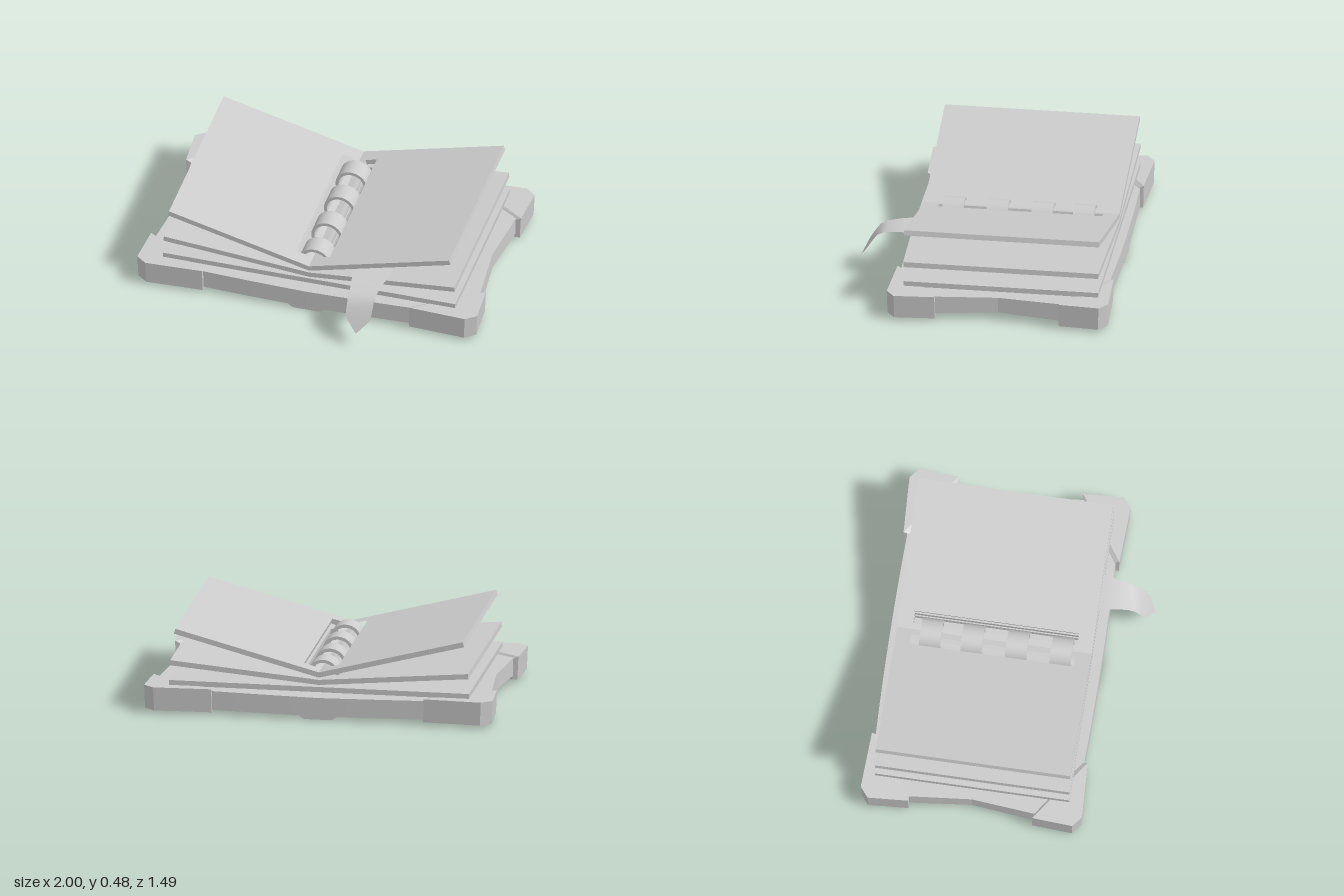
import * as THREE from 'three';
import { ConvexGeometry } from 'three/addons/geometries/ConvexGeometry.js';
import { toCreasedNormals } from 'three/addons/utils/BufferGeometryUtils.js';

const COVER_Z = -0.1125; // middle of the cover
const PAGE_Z = -0.12; // middle of the pages and rings

export function createModel() {
  const model = new THREE.Group();
  const mat = new THREE.MeshStandardMaterial({ color: 0xcccccc });
  const flat = new THREE.MeshStandardMaterial({ color: 0xcccccc, flatShading: true });
  const thin = new THREE.MeshStandardMaterial({ color: 0xcccccc, side: THREE.DoubleSide });

  const add = (name, geometry, material = flat) => {
    const mesh = new THREE.Mesh(geometry, material);
    mesh.name = name;
    model.add(mesh);
    return mesh;
  };

  // Cover: a box with waisted sides, bowed ends and a hollowed underside
  const cover = new THREE.BoxGeometry(2, 2, 2, 12, 1, 8);
  const p = cover.attributes.position;
  for (let i = 0; i < p.count; i++) {
    const u = p.getX(i), v = p.getZ(i), top = p.getY(i) > 0;
    const x = u * (0.92 + 0.055 * Math.abs(v));
    const z = v * (0.605 - 0.025 * u * u);
    const bottom = 0.02 + 0.01 * Math.abs(u) + 0.02 * u * u * (1 - Math.abs(v));
    p.setXYZ(i, x, top ? 0.127 + 0.014 * Math.abs(u) : bottom, z + COVER_Z);
  }
  add('cover', cover);

  // Raised spine under the cover
  const spineShape = new THREE.Shape([
    [-0.08, 0], [0.08, 0], [0.12, 0.028], [0.12, 0.06], [-0.12, 0.06], [-0.12, 0.028],
  ].map(([x, y]) => new THREE.Vector2(x, y)));
  const spine = new THREE.ExtrudeGeometry(spineShape, { depth: 1.208, bevelEnabled: false });
  spine.translate(0, 0, COVER_Z - 0.604);
  add('spine', spine);

  // Corner caps, with a bevel along the inner diagonal
  const outer = [[0.61, 0.617], [0.94, 0.632], [1, 0.585], [0.985, 0.355]];
  const inner = [[0.955, 0.355], [0.61, 0.585]];
  for (const sx of [-1, 1]) {
    for (const sz of [-1, 1]) {
      const at = (y, k = 1) => ([x, z]) => new THREE.Vector3(sx * x * k, y, sz * z * k + COVER_Z);
      const points = [
        ...outer.map(at(0.152)), ...inner.map(at(0.135)),
        ...[...outer, ...inner].map(at(0.016, 0.994)),
      ];
      add('cornerCap', new ConvexGeometry(points));
    }
  }

  // Page blocks: one flat pair and two lifted pairs, each with a slot for the rings
  const rect = (Type, x0, x1, h) => new Type([
    new THREE.Vector2(x0, -h), new THREE.Vector2(x1, -h),
    new THREE.Vector2(x1, h), new THREE.Vector2(x0, h),
  ]);
  const layers = [[0.15, 0], [0.192, 5], [0.235, 14.7]];
  for (const [y, degrees] of layers) {
    for (const s of [-1, 1]) {
      const shape = rect(THREE.Shape, 0, s * 0.86, 0.556);
      shape.holes.push(rect(THREE.Path, s * 0.045, s * 0.112, 0.47));
      const page = new THREE.ExtrudeGeometry(shape, { depth: 0.03, bevelEnabled: false });
      page.rotateX(-Math.PI / 2);
      const mesh = add(s > 0 ? 'leftPage' : 'rightPage', page);
      mesh.position.set(0, y, PAGE_Z);
      mesh.rotation.z = s * THREE.MathUtils.degToRad(degrees);
    }
  }

  // Binder rings: wide bands threaded through the slots
  const ringShape = new THREE.Shape().absarc(0, 0, 0.092, 0, Math.PI * 2);
  ringShape.holes.push(new THREE.Path().absarc(0, 0, 0.074, 0, Math.PI * 2, true));
  const ring = toCreasedNormals(new THREE.ExtrudeGeometry(ringShape, {
    depth: 0.12, bevelEnabled: false, curveSegments: 20,
  }), 0.7);
  for (const z of [-0.48, -0.243, 0.012, 0.265]) {
    add('binderRing', ring, mat).position.set(0, 0.21, z - 0.06);
  }

  // Bookmark ribbon: rows of [z, y, half width], drooping to a point
  const rows = [
    [0.2, 0.292, 0.11], [0.44, 0.293, 0.105], [0.52, 0.29, 0.09], [0.6, 0.277, 0.078],
    [0.645, 0.255, 0.076], [0.68, 0.205, 0.075], [0.705, 0.165, 0.07], [0.745, 0.092, 0.001],
  ];
  const verts = [], index = [];
  rows.forEach(([z, y, w], i) => {
    verts.push(0.365 - w, y, z, 0.365 + w, y, z);
    const a = 2 * i;
    if (i < rows.length - 1) index.push(a, a + 2, a + 1, a + 1, a + 2, a + 3);
  });
  const ribbon = new THREE.BufferGeometry();
  ribbon.setAttribute('position', new THREE.Float32BufferAttribute(verts, 3));
  ribbon.setIndex(index);
  ribbon.computeVertexNormals();
  add('bookmarkRibbon', ribbon, thin);

  return model;
}
